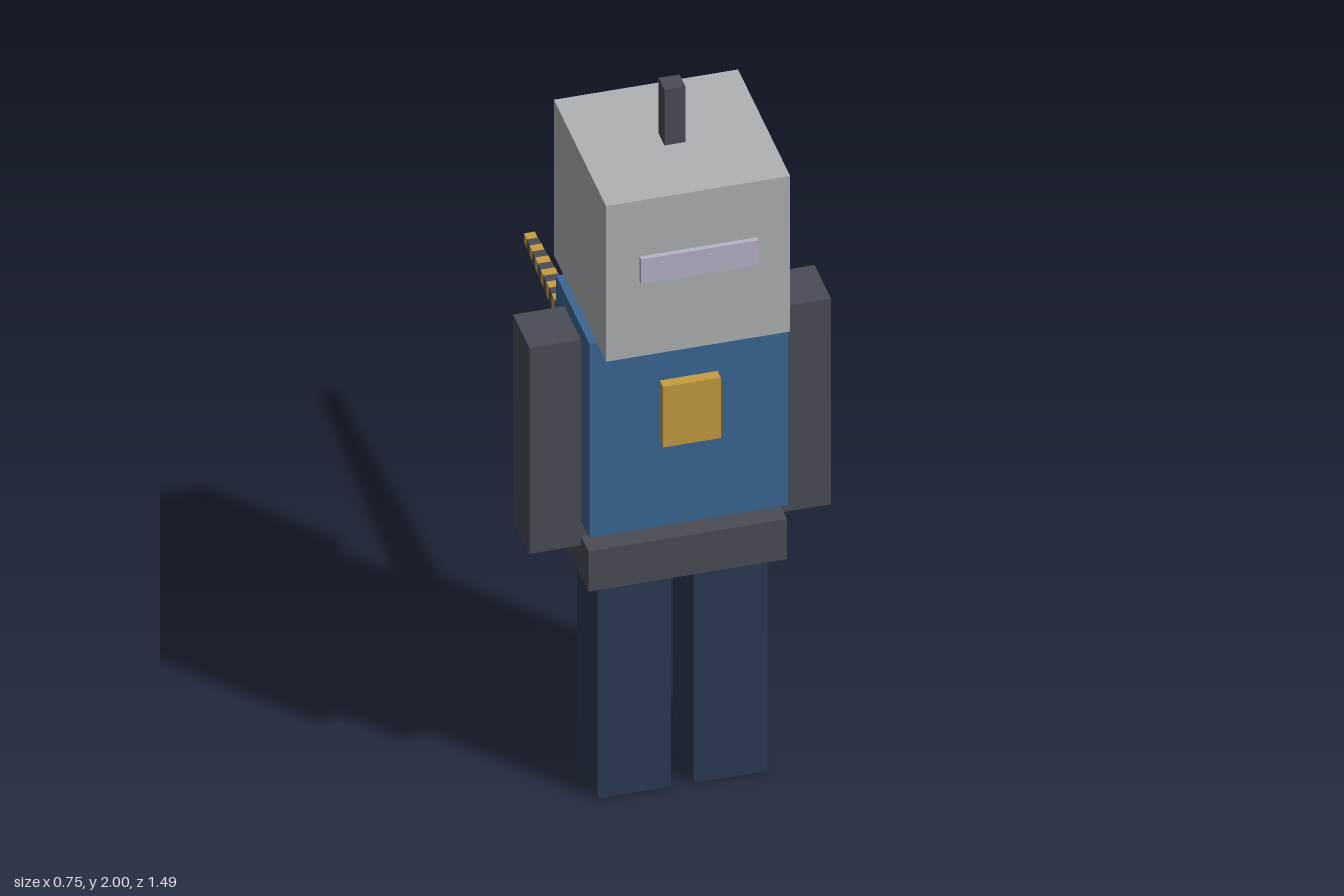
import * as THREE from 'three';

const material = (name, color) => {
  const m = new THREE.MeshStandardMaterial({ color });
  m.name = name;
  return m;
};

export function createModel() {
  const grey = material('light grey', 0xb0b3b5);
  const lilac = material('pale lilac', 0xb8b3c9);
  const blue = material('blue', 0x3a6896);
  const yellow = material('yellow', 0xc69e3f);
  const dark = material('dark grey', 0x4a4d55);
  const navy = material('navy', 0x2c3a54);

  const model = new THREE.Group();
  model.name = 'figure';

  // Box given by its lower and upper bounds on each axis
  const box = (name, mat, [x0, x1], [y0, y1], [z0, z1], parent = model) => {
    const mesh = new THREE.Mesh(new THREE.BoxGeometry(x1 - x0, y1 - y0, z1 - z0), mat);
    mesh.position.set((x0 + x1) / 2, (y0 + y1) / 2, (z0 + z1) / 2);
    mesh.name = name;
    parent.add(mesh);
  };

  // Head with visor and antenna
  box('head', grey, [-0.229, 0.229], [1.38, 1.837], [0.277, 0.734]);
  box('visor', lilac, [-0.146, 0.146], [1.6, 1.673], [0.73, 0.747]);
  box('antenna', dark, [-0.026, 0.026], [1.837, 2], [0.479, 0.531]);

  // Torso with chest plate, and the belt hanging just below it
  box('torso', blue, [-0.247, 0.247], [0.81, 1.38], [0.359, 0.651]);
  box('chestPlate', yellow, [-0.072, 0.072], [1.06, 1.238], [0.65, 0.679]);
  box('belt', dark, [-0.247, 0.247], [0.646, 0.764], [0.368, 0.643]);

  // Arms and legs
  for (const [side, s] of [['left', 1], ['right', -1]]) {
    const span = (a, b) => (s > 0 ? [a, b] : [-b, -a]);
    box(side + 'Arm', dark, span(0.231, 0.375), [0.737, 1.341], [0.433, 0.577]);
    box(side + 'Leg', navy, span(0.028, 0.211), [0, 0.646], [0.414, 0.597]);
  }

  // Tapering striped tail made of stepped blocks
  const tail = new THREE.Group();
  tail.name = 'tail';
  model.add(tail);
  const count = 41, start = 0.355, step = 1.1 / count;
  for (let i = 0; i < count; i++) {
    const h = THREE.MathUtils.lerp(0.043, 0.0135, i / (count - 1));
    const z = start - i * step;
    box('tailSegment', i % 2 ? dark : yellow, [-h, h], [0.69 - h, 0.69 + h], [z - step, z], tail);
  }

  return model;
}
